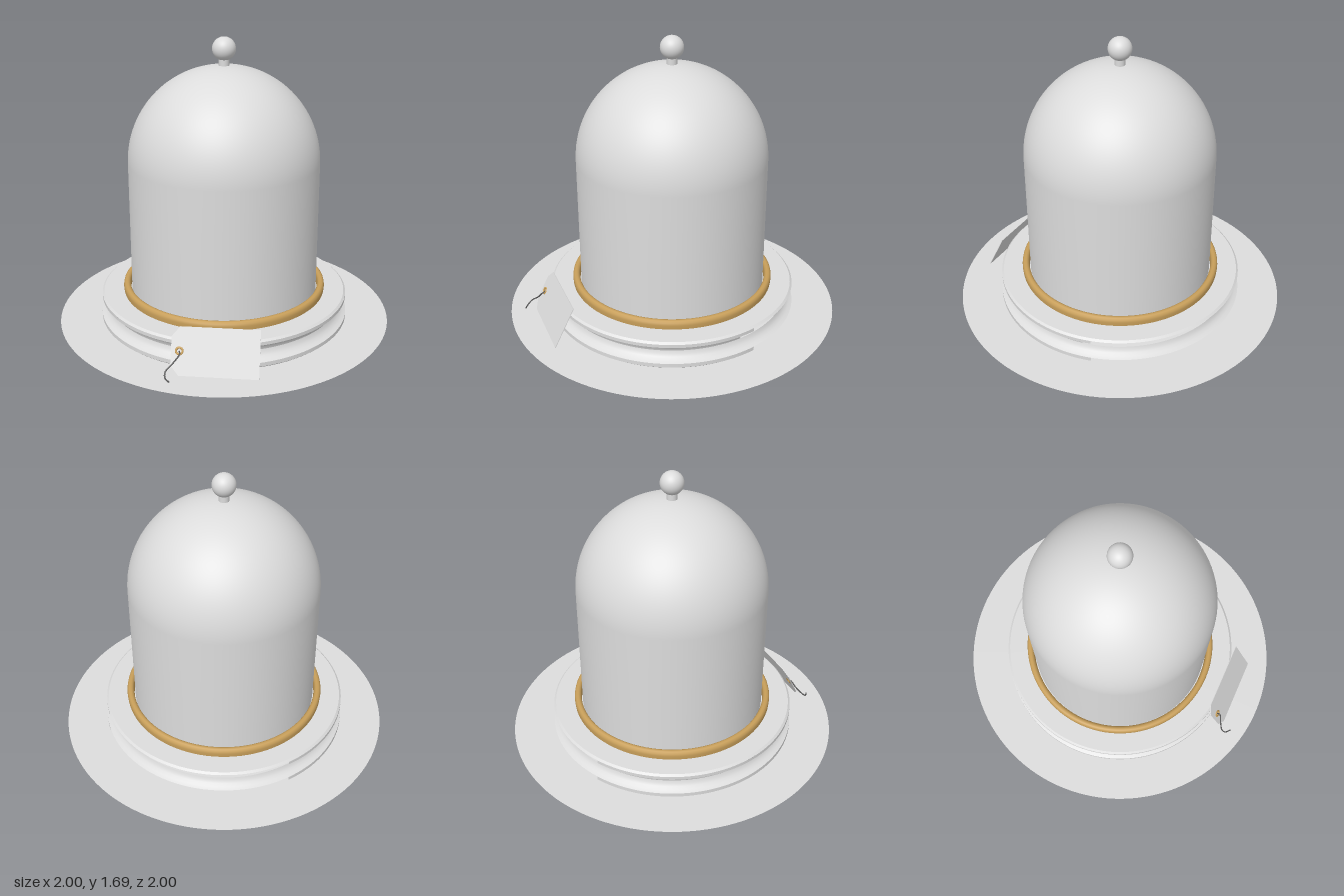
import * as THREE from 'three';

const paint = (name, color, side = THREE.FrontSide) => {
  const m = new THREE.MeshStandardMaterial({ color, side });
  m.name = name;
  return m;
};

export function createModel() {
  const model = new THREE.Group();
  model.name = 'domedDisplayJar';
  const grey = paint('pale grey', 0xdcdcdc);
  const greySheet = paint('pale grey sheet', 0xdcdcdc, THREE.DoubleSide);
  const gold = paint('gold', 0xc89f5a);
  const dark = paint('dark cord', 0x555555);

  const add = (name, geometry, material, parent = model) => {
    const mesh = new THREE.Mesh(geometry, material);
    mesh.name = name;
    parent.add(mesh);
    return mesh;
  };
  const vec = (p) => new THREE.Vector2(p[0], p[1]);
  // Lathe centred on the front; reach is the half angle in degrees
  const turn = (points, reach = 180, segments = 96) => {
    const a = THREE.MathUtils.degToRad(reach);
    return new THREE.LatheGeometry(points.map(vec), segments, reach === 180 ? 0 : -a, 2 * a);
  };

  // Flat ground disc
  add('groundDisc', new THREE.CircleGeometry(1, 128).rotateX(-Math.PI / 2), greySheet);

  // Moulded base: hard-edged bands, some of them open across the back
  const base = new THREE.Group();
  base.name = 'base';
  model.add(base);
  const bands = [
    ['footBevel', 124, [[0.735, 0.004], [0.748, 0.015]]],
    ['footRim', 129, [[0.748, 0.015], [0.748, 0.038]]],
    ['lowerFlare', 180, [[0.748, 0.038], [0.728, 0.047], [0.713, 0.06], [0.703, 0.075], [0.698, 0.092]]],
    ['upperCove', 124, [[0.698, 0.092], [0.703, 0.11], [0.713, 0.123], [0.726, 0.133], [0.742, 0.14]]],
    ['topRim', 129, [[0.742, 0.14], [0.742, 0.16]]],
    ['topBevel', 180, [[0.742, 0.16], [0.73, 0.171]]],
    ['topPlate', 180, [[0.73, 0.171], [0.5, 0.171]]],
  ];
  for (const [name, reach, points] of bands) add(name, turn(points, reach), grey, base);

  // Gold ring seating the dome
  add('goldRing', turn([
    [0.61, 0.171], [0.612, 0.195], [0.609, 0.21], [0.6, 0.219],
    [0.588, 0.221], [0.577, 0.217], [0.57, 0.206], [0.568, 0.171],
  ]), gold);

  // Dome: straight wall running into a hemisphere
  const R = 0.562, spring = 0.968;
  const profile = [[R, 0.171], [R, 0.57], [R, spring]];
  for (let i = 1; i <= 28; i++) {
    const a = (i / 28) * Math.PI / 2;
    profile.push([Math.max(0, R * Math.cos(a)), spring + R * Math.sin(a)]);
  }
  add('dome', turn(profile), grey);

  // Knob
  add('knobNeck', new THREE.CylinderGeometry(0.03, 0.03, 0.07, 32).translate(0, 1.548, 0), grey);
  add('knobBall', new THREE.SphereGeometry(0.068, 40, 28).translate(0, 1.625, 0), grey);

  // Tag leaning on the base; local origin is the middle of its left edge
  const tag = new THREE.Group();
  tag.name = 'tag';
  const u = new THREE.Vector3(0.924, 0, -0.381).normalize();
  const v = new THREE.Vector3(-0.21, 0.894, -0.4).normalize();
  const w = u.clone().cross(v).normalize();
  v.copy(w).cross(u);
  tag.quaternion.setFromRotationMatrix(new THREE.Matrix4().makeBasis(u, v, w));
  tag.position.set(0.0995, 0.1275, 0.79);
  model.add(tag);

  const W = 0.48, H = 0.131, cutX = 0.045, cutY = 0.077;
  const card = new THREE.Shape([
    [cutX, -H], [W, -H], [W, H], [cutX, H], [0, cutY], [0, -cutY],
  ].map(vec));
  card.holes.push(new THREE.Path().absarc(0.045, 0, 0.014, 0, Math.PI * 2, true));
  add('tagCard', new THREE.ExtrudeGeometry(card, { depth: 0.004, bevelEnabled: false, curveSegments: 20 }), grey, tag);
  add('eyelet', new THREE.TorusGeometry(0.018, 0.006, 10, 28).translate(0.045, 0, 0.003), gold, tag);

  // Cord hanging from the eyelet to the ground
  const cord = new THREE.CatmullRomCurve3([
    [0.14, 0.125, 0.772], [0.152, 0.118, 0.79], [0.13, 0.075, 0.825],
    [0.108, 0.04, 0.865], [0.118, 0.018, 0.888], [0.155, 0.006, 0.902],
  ].map((p) => new THREE.Vector3(...p)));
  add('cord', new THREE.TubeGeometry(cord, 40, 0.004, 8), dark);

  return model;
}
